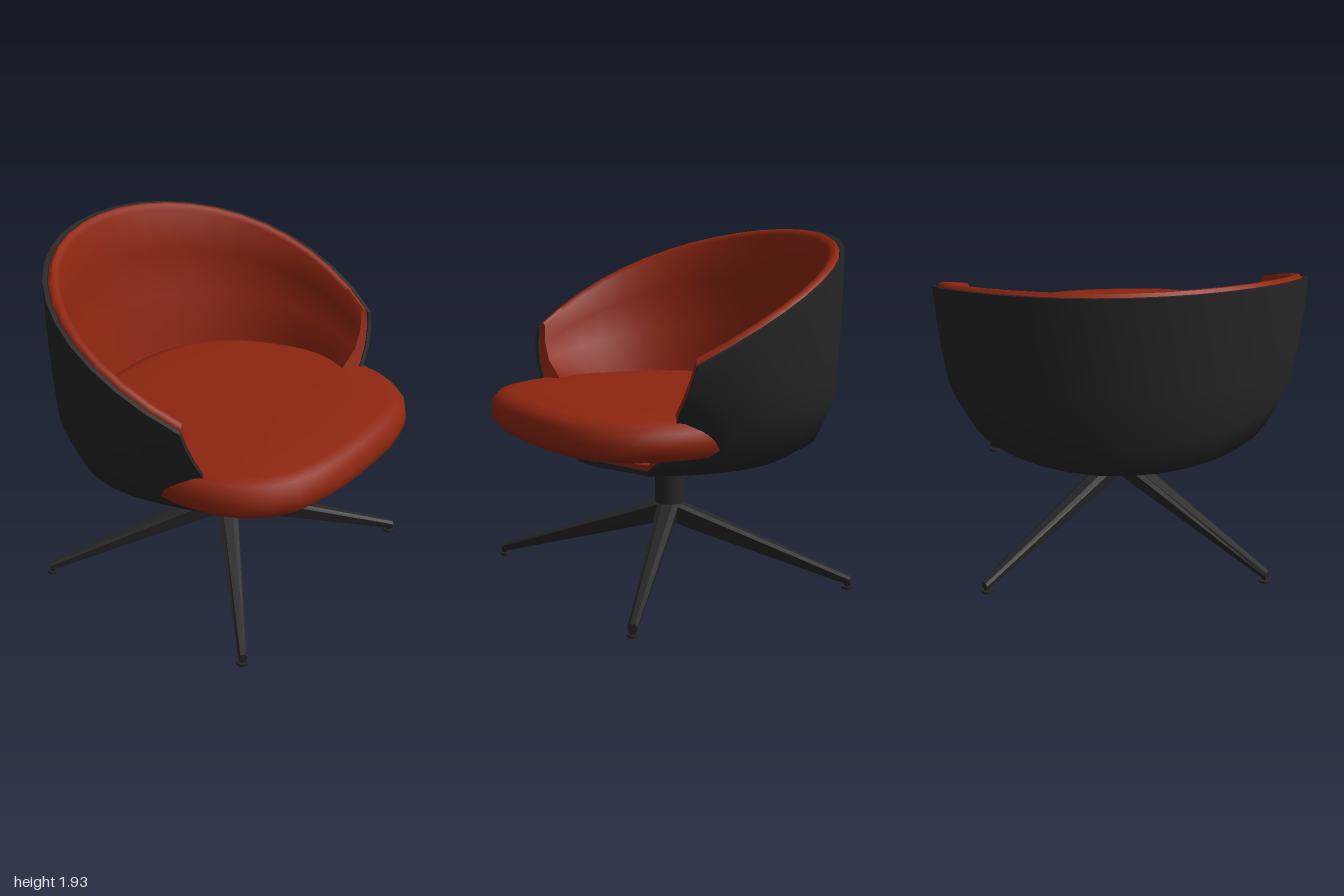
import * as THREE from 'three';
import { toCreasedNormals } from 'three/addons/utils/BufferGeometryUtils.js';

const black = new THREE.MeshStandardMaterial({ color: 0x262626, side: THREE.DoubleSide });
black.name = 'black shell';
const red = new THREE.MeshStandardMaterial({ color: 0x8e2610, side: THREE.DoubleSide });
red.name = 'rust upholstery';

// Tub rows from floor to rim: height (or fraction f up to the rim), radius,
// end angle, inward pull at the front ends, inward direction, liner thickness
const ROWS = [
  { y: 0.705, r: 0.45, end: 180, pull: 0, dir: [0, 1], thick: 0.06 },
  { y: 0.715, r: 0.57, end: 180, pull: 0, dir: [0, 1], thick: 0.06 },
  { y: 0.745, r: 0.71, end: 130, pull: -0.05, dir: [-0.4, 0.9], thick: 0.07 },
  { y: 0.84, r: 0.87, end: 124, pull: 0.06, dir: [-0.85, 0.5], thick: 0.13 },
  { y: 1.06, r: 0.965, end: 119, pull: 0.08, dir: [-1, 0.05], thick: 0.2 },
  { f: 0.35, r: 0.985, end: 117, pull: 0.05, dir: [-1, 0], thick: 0.13 },
  { f: 0.7, r: 0.997, end: 115, pull: 0.03, dir: [-1, 0], thick: 0.1 },
  { f: 1, r: 1, end: 113.5, pull: 0.02, dir: [-1, 0], thick: 0.09 },
];

// Point on the tub: u runs -1..1 from one front end, round the back, to the other
function tubPoint(row, u, offset, end = row.end, lift = 0) {
  const a = THREE.MathUtils.degToRad(u * end);
  const e = Math.abs(u) ** 6;
  const r = row.r * (1 - row.pull * e) + row.dir[0] * offset;
  const x = Math.sin(a) * r;
  const z = -Math.cos(a) * r * (Math.cos(a) > 0 ? 0.92 : 1);
  const rimY = 1.55 - 0.5 * z - 0.1 * z * z;
  const y = row.f === undefined ? row.y : 1.06 + row.f * (rimY - 1.06);
  return new THREE.Vector3(x, y + row.dir[1] * offset + lift, z);
}

// Surface through a list of point loops, optionally capped at the two ends
function loft(sections, capped, crease) {
  const pos = [];
  const tri = (...p) => p.forEach(v => pos.push(v.x, v.y, v.z));
  const quad = (a, b, c, d) => { tri(a, b, c); tri(a, c, d); };
  const n = sections[0].length;
  for (let i = 0; i < sections.length - 1; i++) {
    for (let j = 0; j < n; j++) {
      const k = (j + 1) % n;
      quad(sections[i][j], sections[i + 1][j], sections[i + 1][k], sections[i][k]);
    }
  }
  if (capped) {
    for (const s of [sections[0], sections[sections.length - 1]]) {
      for (let j = 0; j < n / 2 - 1; j++) quad(s[j], s[j + 1], s[n - 2 - j], s[n - 1 - j]);
    }
  }
  const g = new THREE.BufferGeometry();
  g.setAttribute('position', new THREE.Float32BufferAttribute(pos, 3));
  return toCreasedNormals(g, crease);
}

// Curved slab between two offsets from the tub surface
function tubSlab(rows, outer, inner, endOf, bump) {
  const sections = [];
  const columns = 24;
  for (let i = 0; i <= columns; i++) {
    const u = (i / columns) * 2 - 1;
    const out = rows.map(r => tubPoint(r, u, outer(r, u), endOf(r)));
    const inn = rows.map(r => tubPoint(r, u, inner(r, u), endOf(r))).reverse();
    const top = rows[rows.length - 1];
    const span = inner(top, u) - outer(top, u);
    const rim = [0.3, 0.7].map(t => tubPoint(top, u, outer(top, u) + span * t, endOf(top), bump));
    sections.push([...out, ...rim, ...inn]);
  }
  return loft(sections, true, 0.9);
}

// Seat cushion: rounded plan outline stacked in rings
function seatGeometry() {
  const half = [[0.36, -0.66], [0.64, -0.45], [0.79, -0.1], [0.85, 0.25], [0.83, 0.46],
    [0.77, 0.64], [0.6, 0.82], [0.34, 0.9]];
  const pts = [[0, -0.72], ...half, [0, 0.92], ...half.map(([x, z]) => [-x, z]).reverse()];
  const curve = new THREE.CatmullRomCurve3(pts.map(([x, z]) => new THREE.Vector3(x, 0, z)), true);
  const outline = curve.getSpacedPoints(40).slice(0, 40);
  const rings = [[0.001, 1.07], [0.6, 1.07], [0.88, 1.06], [0.95, 1.045], [0.99, 1.005], [1, 0.95],
    [0.995, 0.9], [0.95, 0.862], [0.86, 0.85], [0.001, 0.85]];
  return loft(rings.map(([s, y]) => outline.map(p =>
    new THREE.Vector3(p.x * s, y, 0.1 + (p.z - 0.1) * s))), false, 1.2);
}

// Tapered leg running along +x from the hub
function legGeometry() {
  const section = (x, top, bottom, w) => [[bottom, -w * 0.7], [top - 0.015, -w], [top, -w * 0.5],
    [top, w * 0.5], [top - 0.015, w], [bottom, w * 0.7]].map(([y, z]) => new THREE.Vector3(x, y, z));
  return loft([section(0, 0.435, 0.32, 0.06), section(0.08, 0.41, 0.29, 0.06),
    section(1.045, 0.07, 0.022, 0.025)], true, 0.4);
}

export function createModel() {
  const model = new THREE.Group();
  model.name = 'swivelTubChair';
  const add = (name, geometry, material, parent = model) => {
    const mesh = new THREE.Mesh(geometry, material);
    mesh.name = name;
    parent.add(mesh);
    return mesh;
  };

  // Outer shell and padded liner
  add('shell', tubSlab(ROWS, () => 0, () => 0.025, r => r.end, 0), black);
  add('liner', tubSlab(ROWS.slice(1), () => 0.03,
    (r, u) => 0.03 + (r.thick - 0.03) * (1 - 0.35 * Math.abs(u) ** 6),
    r => Math.min(r.end, 155), 0.018), red);

  // Underside plate with its seam
  add('bottomPlate', new THREE.CylinderGeometry(0.46, 0.455, 0.03, 32), black).position.y = 0.72;
  const seam = add('bottomSeam', new THREE.RingGeometry(0.465, 0.475, 40), red);
  seam.rotation.x = Math.PI / 2;
  seam.position.y = 0.701;

  add('seat', seatGeometry(), red);

  // Pedestal and four splayed legs
  add('column', new THREE.CylinderGeometry(0.082, 0.082, 0.3, 24), black).position.y = 0.565;
  const leg = legGeometry();
  const angle = Math.atan2(0.68, 0.77);
  for (const a of [angle, Math.PI - angle, Math.PI + angle, -angle]) {
    const group = new THREE.Group();
    group.name = 'legAssembly';
    group.rotation.y = a;
    add('leg', leg, black, group);
    add('footPad', new THREE.CylinderGeometry(0.033, 0.033, 0.016, 16), black, group).position.set(1.027, 0.008, 0);
    add('footStem', new THREE.CylinderGeometry(0.018, 0.018, 0.03, 12), black, group).position.set(1.027, 0.025, 0);
    model.add(group);
  }
  return model;
}
